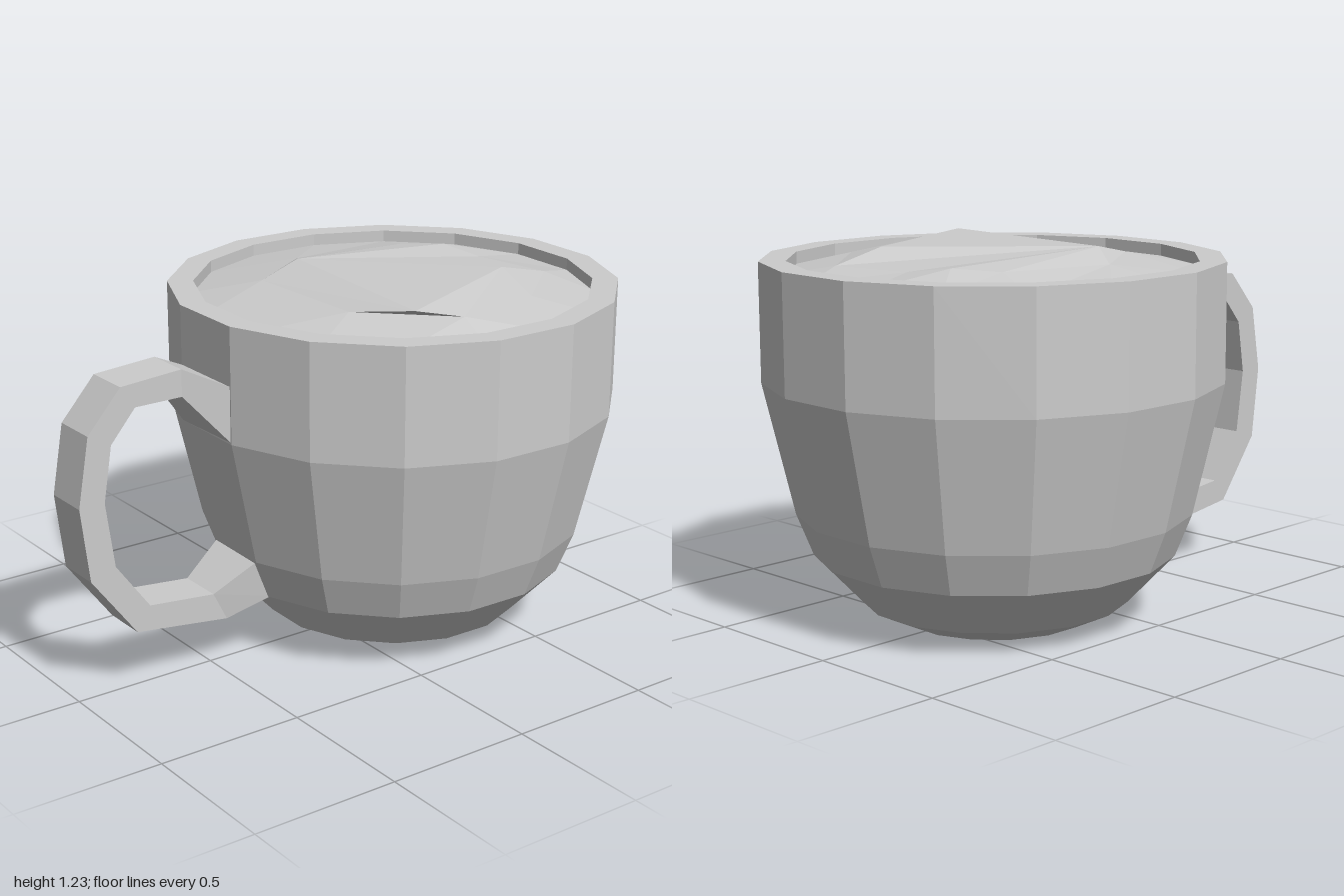
import * as THREE from 'three';

const CX = 0.26, SIDES = 16, PHASE = THREE.MathUtils.degToRad(12.4);
const material = new THREE.MeshStandardMaterial({ color: 0xcccccc, flatShading: true });

function addMesh(group, name, geometry) {
  const mesh = new THREE.Mesh(geometry, material);
  mesh.name = name;
  group.add(mesh);
}

function fromTriangles(points) {
  const geometry = new THREE.BufferGeometry().setFromPoints(points);
  geometry.computeVertexNormals();
  return geometry;
}

// Cup body: outer wall, flat rim and short inner wall
function cupGeometry() {
  const profile = [
    [0, 0], [0.32, 0], [0.445, 0.06], [0.6, 0.225], [0.655, 0.365],
    [0.755, 0.8], [0.755, 1.19], [0.668, 1.19], [0.668, 1.13],
  ].map(([r, y]) => new THREE.Vector2(r, y));
  const geometry = new THREE.LatheGeometry(profile, SIDES, Math.PI / 2 - PHASE);
  geometry.translate(CX, 0, -0.005);
  return geometry;
}

// Handle: four-cornered sections swept along the loop, wider at the upper and lower roots
function handleGeometry() {
  // outer x, outer y, inner x, inner y, half width
  const sections = [
    [-0.478, 0.99, -0.478, 0.80, 0.145],
    [-0.62, 1.06, -0.62, 0.97, 0.08],
    [-0.84, 1.045, -0.79, 0.97, 0.08],
    [-0.96, 0.91, -0.88, 0.865, 0.08],
    [-1.0, 0.68, -0.91, 0.68, 0.08],
    [-0.97, 0.43, -0.88, 0.46, 0.08],
    [-0.81, 0.215, -0.76, 0.295, 0.08],
    [-0.47, 0.17, -0.52, 0.27, 0.08],
    [-0.32, 0.225, -0.37, 0.365, 0.12],
  ];
  const z = -0.02;
  const rings = sections.map(([ox, oy, ix, iy, h]) => [
    new THREE.Vector3(ox, oy, z + h), new THREE.Vector3(ox, oy, z - h),
    new THREE.Vector3(ix, iy, z - h), new THREE.Vector3(ix, iy, z + h),
  ]);
  const tris = [];
  for (let k = 0; k < rings.length - 1; k++) {
    for (let j = 0; j < 4; j++) {
      const a = rings[k][j], b = rings[k][(j + 1) % 4];
      const c = rings[k + 1][(j + 1) % 4], d = rings[k + 1][j];
      tris.push(a, b, c, a, c, d);
    }
  }
  return fromTriangles(tris);
}

// Joins two loops of points, an inner and an outer, in order of their angle
function stitch(inner, outer, tris) {
  const angle = (p) => (Math.atan2(p.z, p.x - CX) + 2 * Math.PI) % (2 * Math.PI);
  const sorted = (loop) => [...loop].sort((p, q) => angle(p) - angle(q));
  const a = sorted(inner), b = sorted(outer);
  const at = (loop, i) => loop[i % loop.length];
  const turn = (loop, i) => angle(at(loop, i)) + (i >= loop.length ? 2 * Math.PI : 0);
  let i = 0, j = 0;
  while (i < a.length || j < b.length) {
    const stepOuter = i >= a.length || (j < b.length && turn(b, j + 1) < turn(a, i + 1));
    if (stepOuter) {
      tris.push(at(a, i), at(b, j + 1), at(b, j));
      j++;
    } else {
      tris.push(at(a, i), at(a, i + 1), at(b, j));
      i++;
    }
  }
}

// Foam: an uneven faceted mound with a flat three-cornered top
function foamGeometry() {
  const toPoints = (list) => list.map(([x, y, z]) => new THREE.Vector3(x, y, z));
  const crest = toPoints([[0.56, 1.23, 0.2], [0, 1.23, 0.44], [0.07, 1.23, -0.29]]);
  const slope = toPoints([
    [0.75, 1.185, 0.2], [0.5, 1.19, 0.42], [0.15, 1.2, 0.5], [-0.1, 1.195, 0.23],
    [-0.11, 1.195, -0.24], [0.16, 1.19, -0.42], [0.56, 1.195, -0.35],
    [0.66, 1.205, -0.23], [0.7, 1.185, -0.08],
  ]);
  const edge = [];
  for (let k = 0; k < SIDES; k++) {
    const t = PHASE + (k * 2 * Math.PI) / SIDES;
    edge.push(new THREE.Vector3(CX + 0.668 * Math.cos(t), 1.15, -0.005 + 0.668 * Math.sin(t)));
  }
  const tris = [crest[0], crest[2], crest[1]];
  stitch(crest, slope, tris);
  stitch(slope, edge, tris);
  return fromTriangles(tris);
}

export function createModel() {
  const group = new THREE.Group();
  group.name = 'cup';
  addMesh(group, 'cupBody', cupGeometry());
  addMesh(group, 'handle', handleGeometry());
  addMesh(group, 'foam', foamGeometry());
  return group;
}
